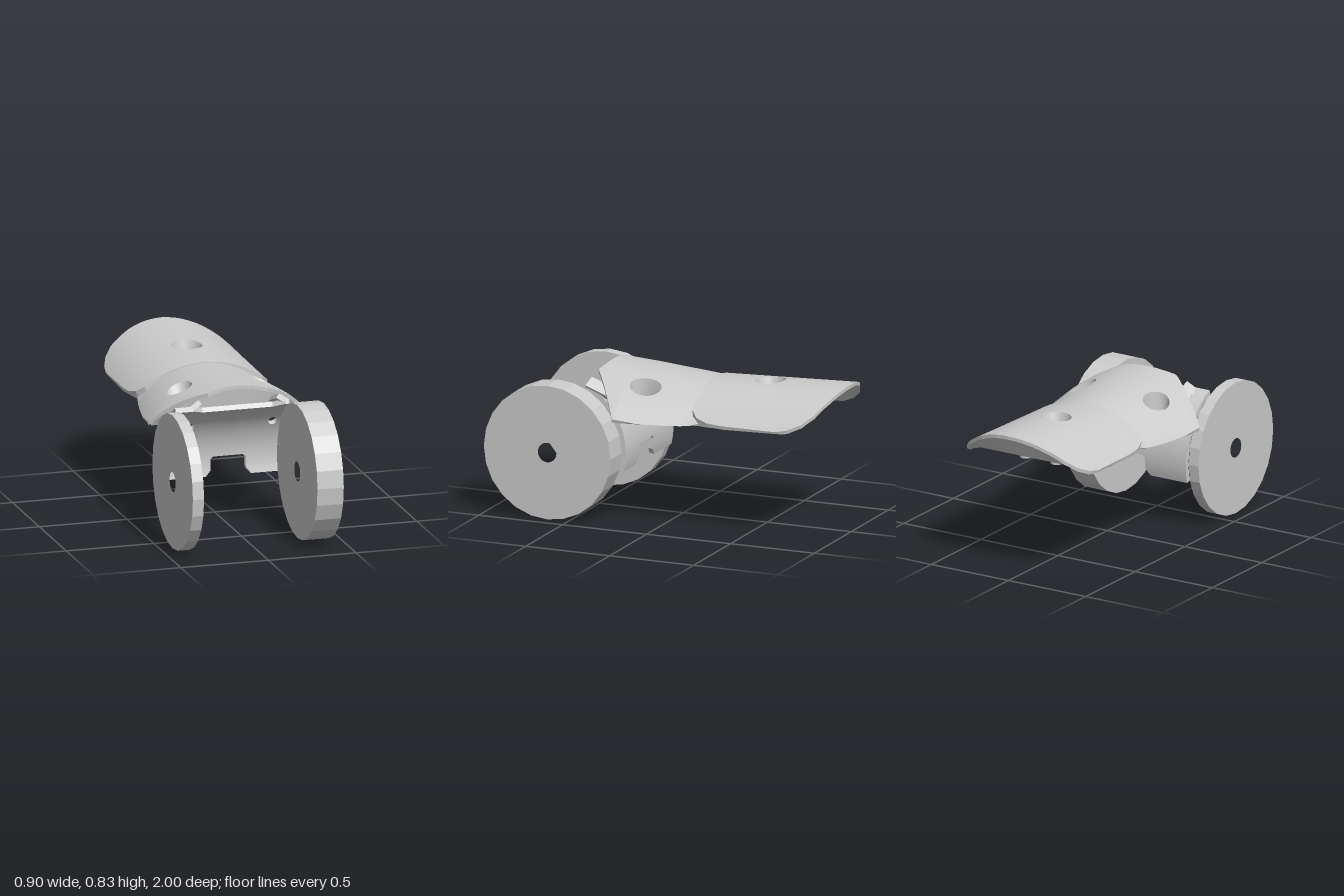
import * as THREE from 'three';
import { toCreasedNormals } from 'three/addons/utils/BufferGeometryUtils.js';

const grey = new THREE.MeshStandardMaterial({ color: 0xcccccc });
const AXLE = { y: 0.377, z: 0.623, r: 0.377 };
const lerp = THREE.MathUtils.lerp;

// Skin a list of equally long closed rings of [x, y, z] points
function loft(rings, mirror = false) {
  const n = rings[0].length, pos = [], index = [];
  rings.forEach(r => r.forEach(([x, y, z]) => pos.push(mirror ? -x : x, y, z)));
  for (let i = 0; i < rings.length - 1; i++) {
    for (let j = 0; j < n; j++) {
      const k = (j + 1) % n;
      const a = i * n + j, b = a + n, c = (i + 1) * n + k, d = i * n + k;
      if (mirror) index.push(a, c, b, a, d, c);
      else index.push(a, b, c, a, c, d);
    }
  }
  const g = new THREE.BufferGeometry();
  g.setAttribute('position', new THREE.Float32BufferAttribute(pos, 3));
  g.setIndex(index);
  return toCreasedNormals(g, 0.5);
}

// Split the edges of a polygon into short steps
function subdivide(poly, step = 0.025) {
  const out = [];
  poly.forEach(([u, v], i) => {
    const [p, q] = poly[(i + 1) % poly.length];
    const n = Math.max(1, Math.ceil(Math.hypot(p - u, q - v) / step));
    for (let k = 0; k < n; k++) out.push([lerp(u, p, k / n), lerp(v, q, k / n)]);
  });
  return out;
}

// Ellipse whose points lie towards the points of an outline
function ellipse(outline, [cu, cv], ru, rv = ru) {
  return outline.map(([u, v]) => {
    const a = Math.atan2(v - cv, u - cu);
    const r = 1 / Math.hypot(Math.cos(a) / ru, Math.sin(a) / rv);
    return [cu + r * Math.cos(a), cv + r * Math.sin(a)];
  });
}

// Flat rings that spread from a hole to an outline
function spread(hole, outline, count = 14) {
  return Array.from({ length: count + 1 }, (_, i) =>
    hole.map(([u, v], j) => [lerp(u, outline[j][0], i / count), lerp(v, outline[j][1], i / count)]));
}

// Height of a circular arch: crest at x = 0, edge at x = w
function arch(x, w, crest, edge) {
  const d = crest - edge, R = (w * w + d * d) / (2 * d);
  return crest - R + Math.sqrt(Math.max(0, R * R - x * x));
}
const underside = z => 0.59 + (0.23 - z) * 0.028;
const frontTop = (x, z) =>
  arch(x, 0.37 + 0.08 * Math.min(1, Math.max(0, (z + 0.2) / 0.43)), 0.79 + (z + 0.2) * 0.065, 0.612);
const rearTop = (x, z) => arch(x, 0.4, 0.795 - (z + 0.2) * 0.044, 0.628);

// Arched solid: stepped screw hole, top skin, thin lip, recessed end, flat bottom
function archedBody(poly, top, hole, clampZ, mirror) {
  const outline = subdivide(poly);
  const at = (ring, y) => ring.map(([x, z]) => [x, y, z]);
  const seat = hole.seat;
  const rings = [
    at(ellipse(outline, seat, 0.0001), hole.y - 0.05),
    at(ellipse(outline, seat, hole.inner), hole.y - 0.05),
    at(ellipse(outline, seat, hole.inner), hole.y),
    at(ellipse(outline, seat, hole.outer), hole.y),
    ...spread(ellipse(outline, hole.at, ...hole.rim), outline)
      .map(r => r.map(([x, z]) => [x, top(x, z), z])),
  ];
  const below = (x, z, drop) => Math.max(underside(z), top(x, z) - drop);
  rings.push(outline.map(([x, z]) => [x * 0.99, below(x, z, 0.02), z]));
  rings.push(outline.map(([x, z]) => {
    const c = clampZ(z, 0);
    return [x * 0.97, below(x * 0.97, c, 0.025), c];
  }));
  const base = outline.map(([x, z]) => {
    const c = clampZ(z, 1);
    return [x * 0.96, underside(c), c];
  });
  rings.push(base, base.map(() => [hole.at[0], underside(hole.at[1]), hole.at[1]]));
  return loft(rings, mirror);
}

// Half of the curved plate that hugs the discs, with a round hole through it
function curvedPlate(width, mirror) {
  const outline = subdivide([
    [0, 0.39], [0.085, 0.39], [0.1, 0.375], [0.1, 0.31], [0.13, 0.275], [width, 0.275],
    [width, 0.742], [0.26, 0.742], [0.2, 0.72], [0, 0.72],
  ]);
  const flat = spread(ellipse(outline, [0.237, 0.598], 0.026), outline, 16);
  const bend = r => ring => ring.map(([x, y]) => {
    const a = Math.asin((y - AXLE.y) / 0.4);
    return [x, AXLE.y + r * Math.sin(a), AXLE.z - r * Math.cos(a)];
  });
  const inner = flat.map(bend(0.375)), outer = flat.map(bend(0.403)).reverse();
  return loft([...inner, ...outer, inner[0]], mirror);
}

// Faceted disc with an axle hole
function disc(thickness) {
  const ring = (r, n) => Array.from({ length: n }, (_, i) =>
    new THREE.Vector2(r * Math.sin(i / n * Math.PI * 2), r * Math.cos(i / n * Math.PI * 2)));
  const shape = new THREE.Shape(ring(AXLE.r, 24));
  shape.holes.push(new THREE.Path(ring(0.055, 24)));
  const g = new THREE.ExtrudeGeometry(shape, { depth: thickness, bevelEnabled: false });
  return g.rotateY(Math.PI / 2);
}

export function createModel() {
  const model = new THREE.Group();
  const add = (name, geometry, x = 0, y = 0, z = 0) => {
    const mesh = new THREE.Mesh(geometry, grey);
    mesh.name = name;
    mesh.position.set(x, y, z);
    model.add(mesh);
    return mesh;
  };

  // Side discs: a thick one on the left, a thin one on the right
  add('leftDisc', disc(0.15), 0.28, AXLE.y, AXLE.z);
  add('rightDisc', disc(0.064), -0.431, AXLE.y, AXLE.z);

  // Curved plate between the discs
  add('leftPlate', curvedPlate(0.28, false));
  add('rightPlate', curvedPlate(0.366, true));

  // Front body in two mirrored halves
  const frontOutline = [
    [0, -0.2], [0, 0.41], [0.09, 0.415], [0.17, 0.43], [0.45, 0.23], [0.438, 0.1],
    [0.415, -0.03], [0.39, -0.15], [0.365, -0.25], [0.335, -0.2],
  ];
  const frontHole = { at: [0.237, 0.12], rim: [0.065, 0.09], seat: [0.237, 0.15], outer: 0.055, inner: 0.035, y: 0.68 };
  const frontClamp = (z, t) => Math.min(z, lerp(0.26, 0.23, t));
  for (const mirror of [false, true])
    add(mirror ? 'rightFrontBody' : 'leftFrontBody',
      archedBody(frontOutline, frontTop, frontHole, frontClamp, mirror));

  // Rear body with rounded, overhanging end
  const side = [
    [0.335, -0.2], [0.375, -0.24], [0.395, -0.31], [0.4, -0.4], [0.4, -0.72], [0.388, -0.79],
    [0.36, -0.86], [0.31, -0.915], [0.2, -0.965], [0.1, -0.99],
  ];
  const rearOutline = [...side, [0, -1], ...side.map(([x, z]) => [-x, z]).reverse()];
  const rearHole = { at: [0, -0.52], rim: [0.085], seat: [0, -0.52], outer: 0.065, inner: 0.045, y: 0.74 };
  add('rearBody', archedBody(rearOutline, rearTop, rearHole,
    (z, t) => Math.max(z, lerp(-0.8, -0.71, t))));

  // Brackets joining plate and front body, and pins under the rear body
  for (const s of [-1, 1]) {
    const bracket = add('bracket', new THREE.BoxGeometry(0.07, 0.03, 0.15), s * 0.25, 0.72, 0.385);
    bracket.rotation.set(-0.35, 0, -s * 0.6);
    add('pin', new THREE.CylinderGeometry(0.032, 0.032, 0.04, 20), s * 0.1, 0.62, -0.67);
  }
  return model;
}
